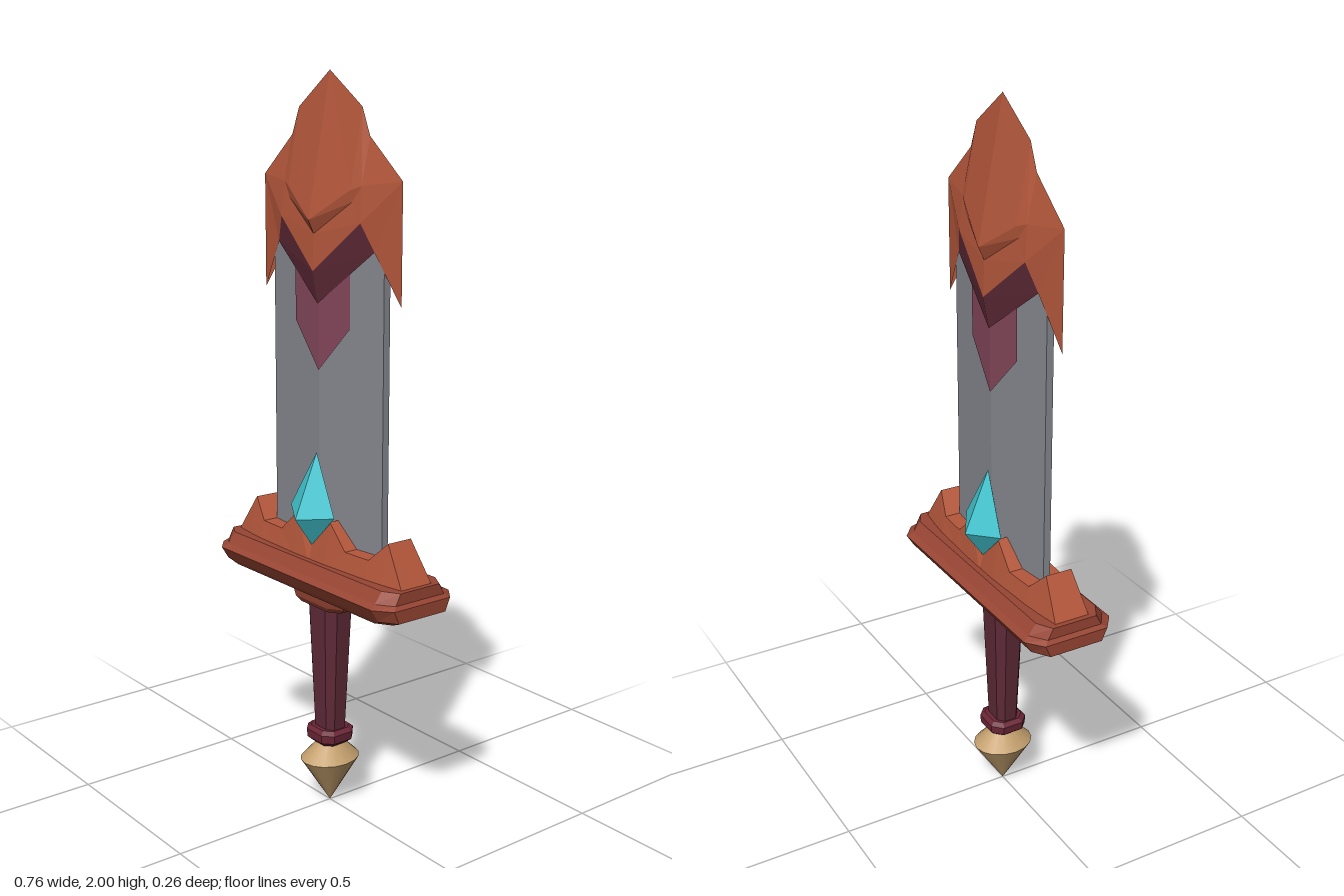
import * as THREE from 'three';

const mat = (name, color, side = THREE.FrontSide) => {
  const m = new THREE.MeshStandardMaterial({ color, side });
  m.name = name;
  return m;
};

// Faceted mesh from corner lists; each triangle is turned to face away from `ref`,
// and the part is mirrored across x and z.
function mirrored(name, material, faces, ref) {
  const pos = [];
  const n = new THREE.Vector3(), e = new THREE.Vector3();
  for (const sx of [1, -1]) for (const sz of [1, -1]) {
    const v = (p) => new THREE.Vector3(p[0] * sx, p[1], p[2] * sz);
    const r = v(ref);
    for (const f of faces) for (let i = 1; i < f.length - 1; i++) {
      let [a, b, c] = [v(f[0]), v(f[i]), v(f[i + 1])];
      n.subVectors(b, a).cross(e.subVectors(c, a));
      if (n.dot(e.subVectors(a, r)) < 0) [b, c] = [c, b];
      for (const q of [a, b, c]) pos.push(q.x, q.y, q.z);
    }
  }
  const g = new THREE.BufferGeometry();
  g.setAttribute('position', new THREE.Float32BufferAttribute(pos, 3));
  g.computeVertexNormals();
  const mesh = new THREE.Mesh(g, material);
  mesh.name = name;
  return mesh;
}

// Stack of chamfered rectangles, levels listed upwards as [y, halfX, halfZ];
// cx and cz are the corner cuts as fractions of the half sizes.
function chamferedStack(name, material, levels, cx, cz) {
  const faces = [];
  const ring = ([y, hx, hz]) => [[0, y, hz], [hx * (1 - cx), y, hz], [hx, y, hz * (1 - cz)], [hx, y, 0]];
  const rings = levels.map(ring);
  for (let i = 0; i < rings.length - 1; i++)
    for (let k = 0; k < 3; k++)
      faces.push([rings[i][k], rings[i][k + 1], rings[i + 1][k + 1], rings[i + 1][k]]);
  const first = levels[0][0], last = levels[levels.length - 1][0];
  faces.push([[0, first, 0], ...rings[0]], [[0, last, 0], ...rings[rings.length - 1]]);
  return mirrored(name, material, faces, [0, (first + last) / 2, 0]);
}

export function createModel() {
  const copper = mat('copper', 0xb4573b, THREE.DoubleSide);
  const darkCopper = mat('dark copper', 0x984533);
  const steel = mat('steel', 0x878990);
  const maroon = mat('maroon', 0x5e2a37, THREE.DoubleSide);
  const rose = mat('rose', 0x84475a, THREE.DoubleSide);
  const ringRed = mat('ring red', 0x6a2535);
  const brass = mat('brass', 0xc4a06e);
  const turquoise = mat('turquoise', 0x44c6d1);
  const model = new THREE.Group();
  model.name = 'sword';

  // Blade with a centre ridge and narrow edges
  const y0 = 0.72, y1 = 1.6;
  model.add(mirrored('blade', steel, [
    [[0, y0, 0.035], [0.23, y0, 0.01], [0.23, y1, 0.01], [0, y1, 0.035]],
    [[0.23, y0, 0.01], [0.23, y0, 0], [0.23, y1, 0], [0.23, y1, 0.01]],
  ], [0, 1.2, -1]));

  // Pointed inlay lying on the blade
  model.add(mirrored('bladeInlay', rose, [
    [[0, 1.24, 0.038], [0.115, 1.36, 0.0255], [0.115, 1.52, 0.0255], [0, 1.45, 0.038]],
  ], [0, 1.4, -1]));

  // Faceted tip cap, its rim meeting at z = 0
  const top = [0, 2, 0], shoulder = [0.13, 1.91, 0], notch = [0.16, 1.84, 0];
  const corner = [0.285, 1.735, 0], barb = [0.285, 1.43, 0];
  const ridge = [0, 1.63, 0.07], crease = [0.13, 1.71, 0.037], side = [0.16, 1.72, 0.026];
  const stepIn = [0, 1.595, 0.053], stepSide = [0.13, 1.68, 0.032];
  const lip = [0, 1.5, 0.057], lipSide = [0.165, 1.63, 0.034], lipEnd = [0.2, 1.56, 0.017];
  model.add(mirrored('tipCap', copper, [
    [top, ridge, crease], [top, crease, shoulder],
    [shoulder, crease, side], [shoulder, side, notch], [notch, side, corner],
    [ridge, stepIn, stepSide, crease], [crease, stepSide, side],
    [stepIn, lip, lipSide, stepSide], [stepSide, lipSide, side],
    [side, lipSide, corner], [corner, lipSide, lipEnd], [corner, lipEnd, barb],
  ], [0.1, 1.6, -1]));
  model.add(mirrored('capLining', maroon, [
    [lipSide, lip, lipEnd], [lipEnd, lip, [0, 1.415, 0.041]],
  ], [0.1, 1.6, -1]));

  // Guard slab and the collar below it
  model.add(chamferedStack('guard', darkCopper, [
    [0.64, 0.345, 0.095], [0.655, 0.38, 0.108], [0.69, 0.38, 0.13],
    [0.7, 0.37, 0.112], [0.73, 0.37, 0.09],
  ], 0.12, 0.28));
  model.add(chamferedStack('collar', darkCopper, [
    [0.59, 0.09, 0.055], [0.605, 0.108, 0.064], [0.645, 0.125, 0.07],
  ], 0.35, 0.4));

  // Crest on the guard: stations [x, top y, foot half width, top half width]
  const stations = [
    [0, 0.77, 0.075, 0.06], [0.07, 0.845, 0.075, 0.055], [0.14, 0.78, 0.072, 0.06],
    [0.23, 0.78, 0.068, 0.055], [0.288, 0.835, 0.062, 0.038], [0.355, 0.73, 0.052, 0.05],
  ];
  const crest = [];
  for (let i = 0; i < stations.length - 1; i++) {
    const [a, b] = [stations[i], stations[i + 1]];
    const at = [a[0], a[1], a[3]], bt = [b[0], b[1], b[3]];
    crest.push([[a[0], 0.72, a[2]], [b[0], 0.72, b[2]], bt, at]);
    crest.push([at, bt, [b[0], b[1], 0], [a[0], a[1], 0]]);
  }
  model.add(mirrored('guardCrest', copper, crest, [0.15, -0.5, -0.5]));

  // Gems on both faces
  const gemTop = [0, 1.02, 0.045], gemSide = [0.095, 0.86, 0.06], gemFront = [0, 0.845, 0.117];
  const gemFoot = [0, 0.767, 0.062], gemBack = [0, 0.86, 0.015];
  model.add(mirrored('gems', turquoise, [
    [gemTop, gemSide, gemFront], [gemFoot, gemSide, gemFront],
    [gemTop, gemSide, gemBack], [gemFoot, gemSide, gemBack],
  ], [0, 0.87, 0.06]));

  // Grip and ring
  model.add(chamferedStack('grip', maroon, [[0.2, 0.042, 0.032], [0.6, 0.064, 0.045]], 0.45, 0.45));
  model.add(chamferedStack('gripRing', ringRed, [
    [0.183, 0.042, 0.04], [0.197, 0.058, 0.055], [0.22, 0.06, 0.056], [0.23, 0.048, 0.045],
  ], 0.45, 0.45));

  // Pommel: two smooth cones, slightly deeper than wide
  const pommel = new THREE.Group();
  pommel.name = 'pommel';
  const upper = new THREE.Mesh(new THREE.CylinderGeometry(0.03, 0.074, 0.05, 16), brass);
  upper.name = 'pommelTop';
  upper.position.y = 0.16;
  const lower = new THREE.Mesh(new THREE.CylinderGeometry(0.074, 0, 0.135, 16), brass);
  lower.name = 'pommelPoint';
  lower.position.y = 0.0675;
  pommel.add(upper, lower);
  pommel.scale.z = 1.18;
  model.add(pommel);

  return model;
}
